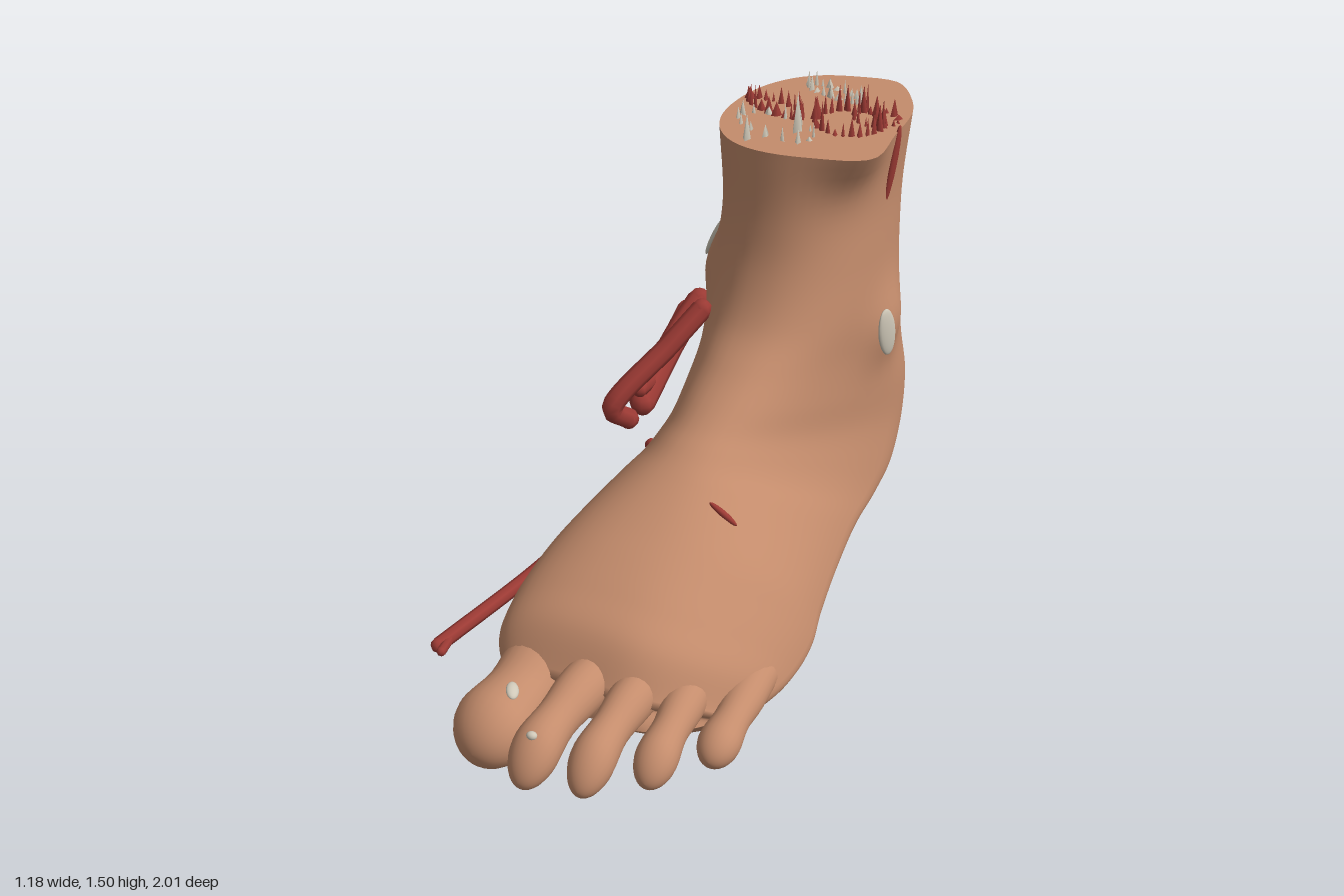
import * as THREE from 'three';
import { mergeGeometries } from 'three/addons/utils/BufferGeometryUtils.js';

const V = (x, y, z) => new THREE.Vector3(x, y, z);
const { smoothstep } = THREE.MathUtils;
const YAW = 0.4; // the foot is modelled straight, then turned outwards
const SIDES = 56;
const skin = new THREE.MeshStandardMaterial({ color: 0xc48c6c });
const red = new THREE.MeshStandardMaterial({ color: 0x9c3a34 });
const bone = new THREE.MeshStandardMaterial({ color: 0xcfc8b8 });

// Closed skin over a list of equal-length rings
function skinRings(rings) {
  const n = rings[0].length, index = [];
  for (let i = 0; i < rings.length - 1; i++) {
    for (let j = 0; j < n; j++) {
      const a = i * n + j, b = i * n + (j + 1) % n, c = a + n, d = b + n;
      index.push(a, c, b, b, c, d);
    }
  }
  const g = new THREE.BufferGeometry().setFromPoints(rings.flat());
  g.setIndex(index);
  g.computeVertexNormals();
  return g.rotateY(YAW);
}

function named(name, geometry, material) {
  const m = new THREE.Mesh(geometry, material);
  m.name = name;
  return m;
}

// Sections fan from the cut ankle round the heel to the ball of the foot:
// front (z, y), back (z, y), half width
const SECTIONS = [
  [-0.30, 1.39, -0.97, 1.39, 0.26],
  [-0.29, 1.18, -0.965, 1.18, 0.24],
  [-0.26, 1.03, -0.955, 1.00, 0.243],
  [-0.19, 0.88, -0.97, 0.78, 0.25],
  [-0.10, 0.79, -1.03, 0.58, 0.25],
  [-0.01, 0.72, -1.07, 0.40, 0.26],
  [0.06, 0.67, -1.04, 0.24, 0.265],
  [0.11, 0.64, -0.90, 0.12, 0.28],
  [0.15, 0.615, -0.72, 0.09, 0.29],
  [0.20, 0.585, -0.45, 0.10, 0.31],
  [0.34, 0.505, 0.05, 0.05, 0.365],
  [0.44, 0.45, 0.27, 0.015, 0.385],
  [0.53, 0.395, 0.48, 0, 0.385],
  [0.62, 0.33, 0.61, 0.02, 0.36],
  [0.70, 0.20, 0.69, 0.09, 0.28],
];

// Soft swellings: centre, push, radius (ankle bones and torn lip)
const BUMPS = [
  [V(-0.26, 0.88, -0.58), V(-0.075, 0, 0), 0.15],
  [V(0.25, 0.76, -0.62), V(0.04, 0, 0), 0.12],
  [V(0.22, 1.42, -0.42), V(0.07, 0, 0.05), 0.12],
  [V(0.10, 1.33, -0.95), V(0.02, 0, -0.05), 0.09],
];

const power = (v, e) => Math.sign(v) * Math.abs(v) ** e;

function section([fz, fy, bz, by, w]) {
  // the ridge leans to the inner side and the outer edge sweeps back towards the toes
  const front = V(-0.01 - 0.11 * smoothstep(fz, -0.3, 0.6), fy, fz), back = V(0.01, by, bz);
  const mid = back.clone().lerp(front, 0.5 - 0.2 * smoothstep(fz, -0.3, 0.15));
  const sweep = 1.8 * smoothstep(bz, -0.25, 0.6);
  return Array.from({ length: SIDES }, (_, j) => {
    const a = (j / SIDES) * Math.PI * 2, c = power(Math.cos(a), 0.92), s = power(Math.sin(a), 0.92);
    const p = mid.clone().addScaledVector((c > 0 ? front : back).clone().sub(mid), Math.abs(c));
    p.x += s * w;
    p.z -= sweep * Math.max(p.x, 0) ** 2;
    return p;
  });
}

function sculpt(p) {
  const q = p.clone();
  for (const [c, push, r] of BUMPS) q.addScaledVector(push, Math.exp(-p.distanceToSquared(c) / (r * r)));
  // hollow of the arch on the inner side
  const inner = smoothstep(-p.x, -0.12, 0.25);
  q.y += 0.13 * inner * Math.exp(-(((p.z + 0.12) / 0.28) ** 2)) * Math.max(0, 1 - p.y / 0.4);
  return q;
}

function footRings() {
  const sections = SECTIONS.map(section);
  const lines = sections[0].map((_, j) => new THREE.CatmullRomCurve3(sections.map((s) => s[j])));
  const rows = 90;
  return Array.from({ length: rows + 1 }, (_, i) => lines.map((l) => sculpt(l.getPoint(i / rows))));
}

const centreOf = (ring) => ring.reduce((s, p) => s.add(p), V(0, 0, 0)).divideScalar(ring.length);
const collapse = (ring) => ring.map(() => centreOf(ring));

// Toe: waisted tube with a rounded pad at the tip
function toe(base, middle, tip, rw, rh) {
  const path = new THREE.QuadraticBezierCurve3(base, middle, tip), rings = [];
  const dir = tip.clone().sub(base).setY(0).normalize(), side = V(dir.z, 0, -dir.x);
  for (let i = 0; i <= 24; i++) {
    const t = 1 - (1 - i / 24) ** 2, c = path.getPoint(t);
    const waist = 1 - 0.16 * Math.exp(-(((t - 0.5) / 0.17) ** 2));
    const r = waist * Math.sqrt(1 - Math.max(0, (t - 0.72) / 0.28) ** 2);
    rings.push(Array.from({ length: 24 }, (_, j) => {
      const a = (j / 24) * Math.PI * 2;
      return c.clone().addScaledVector(side, Math.sin(a) * rw * r).add(V(0, Math.cos(a) * rh * r, 0));
    }));
  }
  return skinRings(rings);
}

const TOES = [
  [V(-0.25, 0.17, 0.48), V(-0.275, 0.14, 0.75), V(-0.275, 0.1, 0.965), 0.118, 0.108],
  [V(-0.08, 0.19, 0.58), V(-0.10, 0.21, 0.84), V(-0.11, 0.1, 1.005), 0.07, 0.075],
  [V(0.05, 0.18, 0.56), V(0.045, 0.20, 0.8), V(0.047, 0.1, 0.968), 0.064, 0.07],
  [V(0.16, 0.16, 0.50), V(0.185, 0.17, 0.72), V(0.19, 0.1, 0.865), 0.06, 0.064],
  [V(0.28, 0.13, 0.36), V(0.30, 0.13, 0.58), V(0.303, 0.1, 0.72), 0.06, 0.06],
];

// Torn vessels and tendons: name, radius, path
const STRANDS = [
  ['rearVessel', 0.028, [V(-0.52, 0.80, -0.56), V(-0.565, 0.64, -0.57), V(-0.545, 0.48, -0.55), V(-0.50, 0.42, -0.54)]],
  ['frontTendon', 0.032, [V(-0.29, 0.87, -0.17), V(-0.31, 0.78, -0.06), V(-0.35, 0.62, 0.13), V(-0.35, 0.56, 0.07)]],
  ['lowerVessel', 0.022, [V(-0.31, 0.34, 0.02), V(-0.33, 0.30, 0.18), V(-0.325, 0.20, 0.45), V(-0.25, 0.17, 0.85)]],
  ['lowerVesselFork', 0.014, [V(-0.26, 0.17, 0.8), V(-0.21, 0.18, 0.865)]],
  ['tornMuscle', 0.04, [V(-0.50, 0.76, -0.34), V(-0.47, 0.69, -0.22), V(-0.37, 0.58, 0)]],
  ['tornMuscle', 0.025, [V(-0.52, 0.74, -0.30), V(-0.48, 0.65, -0.18), V(-0.44, 0.59, -0.10)]],
  ['tornMuscle', 0.025, [V(-0.45, 0.67, -0.2), V(-0.40, 0.63, -0.06), V(-0.33, 0.66, 0.04)]],
];

// Exposed patches on the skin: name, material, ray start, ray direction, half width, half height, roll
const INWARD = V(0.94, 0, -0.34), LEFT_IN = V(-1, 0, 0), DOWN = V(0, -1, 0);
const PATCHES = [
  ['innerAnkleBone', bone, V(-1.3, 0.97, -0.1), INWARD, 0.035, 0.09, -0.4],
  ['innerHeelBone', bone, V(-1.3, 0.55, 0.1), INWARD, 0.03, 0.055, 0.2],
  ['outerAnkleBone', bone, V(1, 0.76, -0.63), LEFT_IN, 0.04, 0.09, 0.3],
  ['outerLegMuscle', red, V(1, 1.28, -0.66), LEFT_IN, 0.022, 0.13, 0],
  ['topMuscle', red, V(0.17, 2, 0.15), DOWN, 0.01, 0.05, 0.5],
  ['topMuscle', red, V(-0.24, 2, 0.08), DOWN, 0.012, 0.02, 0],
  ['bigToeBone', bone, V(0.1, 2, 0.84), DOWN, 0.03, 0.018, 0.5],
  ['secondToeBone', bone, V(0.27, 2, 0.9), DOWN, 0.015, 0.012, 0],
];

// Ragged outlines on the cut face: x, z, radii, count, material, spike height
const OUTLINES = [
  [-0.33, -0.735, 0.11, 0.03, 22, bone, 0.05],
  [-0.13, -0.6, 0.10, 0.10, 26, red, 0.08],
  [-0.36, -0.52, 0.11, 0.04, 22, red, 0.06],
  [-0.10, -0.68, 0.07, 0.06, 14, red, 0.08],
  [-0.25, -0.42, 0.14, 0.07, 14, bone, 0.04],
];

export function createModel() {
  const group = new THREE.Group();

  // Foot, cut face and toes
  const rings = footRings();
  const foot = named('foot', skinRings([...rings, collapse(rings[rings.length - 1])]), skin);
  const cut = named('cutFace', skinRings([collapse(rings[0]), rings[0]]), skin);
  const toes = TOES.map((t, i) => named('toe' + (i + 1), toe(...t), skin));
  group.add(foot, cut, ...toes);

  // Strands on the inner side, with rounded ends
  for (const [name, r, pts] of STRANDS) {
    group.add(named(name, new THREE.TubeGeometry(new THREE.CatmullRomCurve3(pts), 28, r, 8), red));
    for (const p of [pts[0], pts[pts.length - 1]]) {
      const end = named(name + 'End', new THREE.SphereGeometry(r, 8, 6), red);
      end.position.copy(p);
      group.add(end);
    }
  }

  // Patches laid on the skin
  const ray = new THREE.Raycaster();
  for (const [name, mat, from, dir, w, h, roll] of PATCHES) {
    ray.set(from, dir);
    const hit = ray.intersectObjects([foot, ...toes], false)[0];
    if (!hit) continue;
    const patch = named(name, new THREE.SphereGeometry(1, 20, 12), mat);
    patch.position.copy(hit.point);
    patch.lookAt(hit.point.clone().add(hit.face.normal));
    patch.rotateZ(roll);
    patch.scale.set(w, h, 0.012);
    group.add(patch);
  }

  // Spikes standing on the cut face
  let seed = 7;
  const rand = () => (seed = (seed * 16807) % 2147483647) / 2147483647;
  const spikes = new Map([[red, []], [bone, []]]);
  const spike = (mat, x, z, r, h) => spikes.get(mat).push(
    new THREE.ConeGeometry(r, h, 4).scale(1, 1, 0.5).rotateY(rand() * 3).translate(x, 1.385 + h / 2, z));
  for (const [x, z, rx, rz, count, mat, h] of OUTLINES) {
    for (let i = 0; i < count; i++) {
      const a = (i / count) * Math.PI * 2;
      spike(mat, x + Math.cos(a) * rx, z + Math.sin(a) * rz, 0.008 + rand() * 0.012, 0.015 + rand() * h);
    }
  }
  spike(bone, -0.19, -0.45, 0.03, 0.12);
  spike(bone, -0.24, -0.3, 0.025, 0.08);
  for (const [mat, list] of spikes) group.add(named(mat === red ? 'muscleSpikes' : 'boneSpikes', mergeGeometries(list), mat));

  return group;
}
